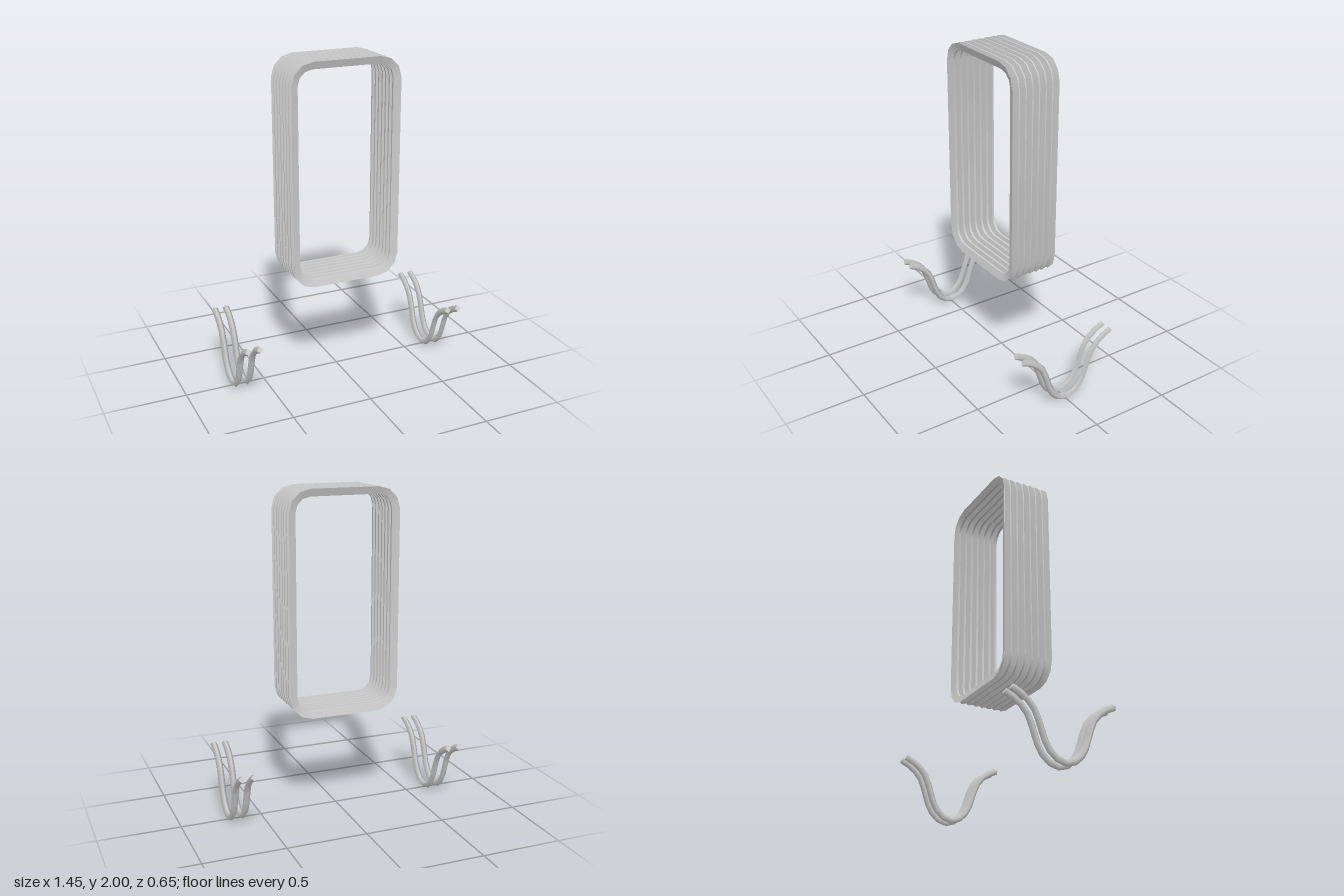
import * as THREE from 'three';
import { toCreasedNormals } from 'three/addons/utils/BufferGeometryUtils.js';

const material = new THREE.MeshStandardMaterial({ color: 0xcccccc, side: THREE.DoubleSide });

// Rounded rectangle loop; the corner radius sets how far it stands out
function frameLoop(radius, z) {
  const points = [];
  const corners = [[0.21, 1.865], [-0.21, 1.865], [-0.21, 0.77], [0.21, 0.77]];
  corners.forEach(([x, y], c) => {
    for (let i = 0; i <= 3; i++) {
      const a = (c + i / 3) * Math.PI / 2;
      points.push([x + radius * Math.cos(a), y + radius * Math.sin(a), z]);
    }
  });
  return points;
}

// Pleated sleeve: loops alternate between blunt ridges and valleys
function bellowsGeometry() {
  const pleats = 7, pitch = 0.315 / pleats, ridge = 0.135, valley = 0.09;
  const loops = [frameLoop(ridge, -0.1575)];
  for (let i = 0; i < pleats; i++) {
    const z = -0.1575 + (i + 0.5) * pitch;
    loops.push(frameLoop(valley, z - 0.007), frameLoop(valley, z + 0.007));
    if (i < pleats - 1) {
      loops.push(frameLoop(ridge, z + pitch / 2 - 0.004), frameLoop(ridge, z + pitch / 2 + 0.004));
    }
  }
  loops.push(frameLoop(ridge, 0.1575));
  const n = loops[0].length, index = [];
  for (let r = 0; r < loops.length - 1; r++) {
    for (let i = 0; i < n; i++) {
      const a = r * n + i, b = r * n + (i + 1) % n;
      index.push(a, b, b + n, a, b + n, a + n);
    }
  }
  const geometry = new THREE.BufferGeometry();
  geometry.setAttribute('position', new THREE.Float32BufferAttribute(loops.flat(2), 3));
  geometry.setIndex(index);
  return toCreasedNormals(geometry, 0.7);
}

export function createModel() {
  const model = new THREE.Group();
  model.name = 'bellowsWithHangers';

  const bellows = new THREE.Mesh(bellowsGeometry(), material);
  bellows.name = 'bellows';
  model.add(bellows);

  // Bent wire: half of the curve, mirrored front to back
  const half = [[0.317, 0.381], [0.242, 0.343], [0.182, 0.28], [0.148, 0.193], [0.12, 0.115], [0.074, 0.05]];
  const path = [...half, [0, 0.021], ...half.map(([z, y]) => [-z, y]).reverse()];
  const curve = new THREE.CatmullRomCurve3(path.map(([z, y]) => new THREE.Vector3(0, y, z)));
  const radius = 0.021;
  const wireGeometry = new THREE.TubeGeometry(curve, 18, radius, 4);
  const capGeometry = new THREE.CircleGeometry(radius, 4);

  // A pair of wires on each side
  for (const side of [1, -1]) {
    for (const x of [0.63, 0.703]) {
      const hanger = new THREE.Group();
      hanger.name = side > 0 ? 'leftHanger' : 'rightHanger';
      const wire = new THREE.Mesh(wireGeometry, material);
      wire.name = 'wire';
      hanger.add(wire);
      for (const t of [0, 1]) {
        const cap = new THREE.Mesh(capGeometry, material);
        cap.name = 'wireEnd';
        const outward = curve.getTangent(t).multiplyScalar(t ? 1 : -1);
        cap.position.copy(curve.getPoint(t));
        cap.lookAt(cap.position.clone().add(outward));
        hanger.add(cap);
      }
      hanger.position.x = side * x;
      model.add(hanger);
    }
  }
  return model;
}
